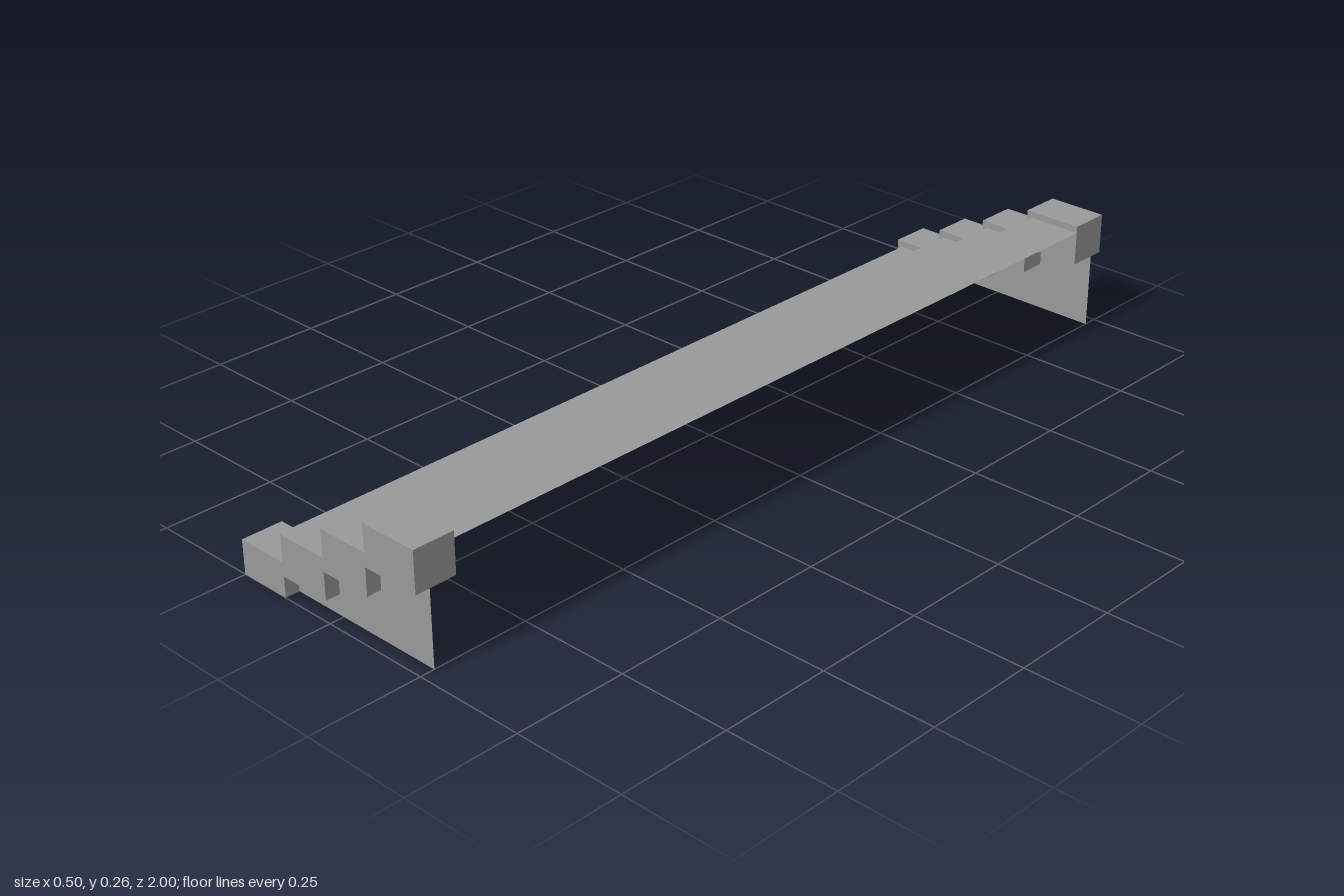
import * as THREE from 'three';

const STEPS = 4, RUN = 0.122, RISE = 0.0607;
const BACK = 0.2505;         // tall end of the flight
const TREAD_X = -0.239;      // first riser
const CAP_X = -0.251;        // front of the first cap
const CAP_TOP = 0.0148, CAP_DROP = 0.0148;
const PANEL_Z = 0.968, CAP_IN = 0.907, CAP_OUT = 1;
const GREY = 0x999999;

// Stepped line climbing from the low end to the tall end
function stepLine(startX, offset) {
  const pts = [[startX, 0]];
  for (let i = 0; i < STEPS; i++) {
    const y = (i + 1) * RISE + offset;
    pts.push([startX + i * RUN, y]);
    pts.push([i === STEPS - 1 ? BACK : startX + (i + 1) * RUN, y]);
  }
  return pts;
}

const toShape = (pts) => new THREE.Shape(pts.map(([x, y]) => new THREE.Vector2(x, y)));

export function createModel() {
  const group = new THREE.Group();
  const solid = new THREE.MeshStandardMaterial({ color: GREY, flatShading: true });
  const thin = new THREE.MeshStandardMaterial({ color: GREY, flatShading: true, side: THREE.DoubleSide });
  const add = (name, geometry, material) => {
    const mesh = new THREE.Mesh(geometry, material);
    mesh.name = name;
    group.add(mesh);
    return mesh;
  };

  // Thin treads and risers, open underneath
  for (let i = 0; i < STEPS; i++) {
    const x0 = TREAD_X + i * RUN;
    const x1 = i === STEPS - 1 ? BACK : x0 + RUN;
    const y = (i + 1) * RISE;
    const tread = new THREE.PlaneGeometry(x1 - x0, 2 * PANEL_Z).rotateX(-Math.PI / 2);
    add('tread' + (i + 1), tread, thin).position.set((x0 + x1) / 2, y, 0);
    const riser = new THREE.PlaneGeometry(2 * PANEL_Z, RISE).rotateY(-Math.PI / 2);
    add('riser' + (i + 1), riser, thin).position.set(x0, y - RISE / 2, 0);
  }

  // Stepped caps: the top line, returned along a lower line
  const lower = [[BACK, 3 * RISE - CAP_DROP]];
  for (let i = STEPS - 1; i > 0; i--) {
    const x = CAP_X + i * RUN;
    lower.push([x, i * RISE - CAP_DROP]);
    lower.push([x, Math.max(0, (i - 1) * RISE - CAP_DROP)]);
  }
  const capShape = toShape([...stepLine(CAP_X, CAP_TOP), ...lower]);

  // Thin side panels reaching the ground beneath the caps
  const panelShape = toShape([...stepLine(TREAD_X, 0), [BACK, 0]]);

  for (const [end, s] of [['front', 1], ['back', -1]]) {
    const cap = new THREE.ExtrudeGeometry(capShape, { depth: CAP_OUT - CAP_IN, bevelEnabled: false });
    add(end + 'Cap', cap, solid).position.z = s > 0 ? CAP_IN : -CAP_OUT;
    add(end + 'SidePanel', new THREE.ShapeGeometry(panelShape), thin).position.z = s * PANEL_Z;
  }
  return group;
}
